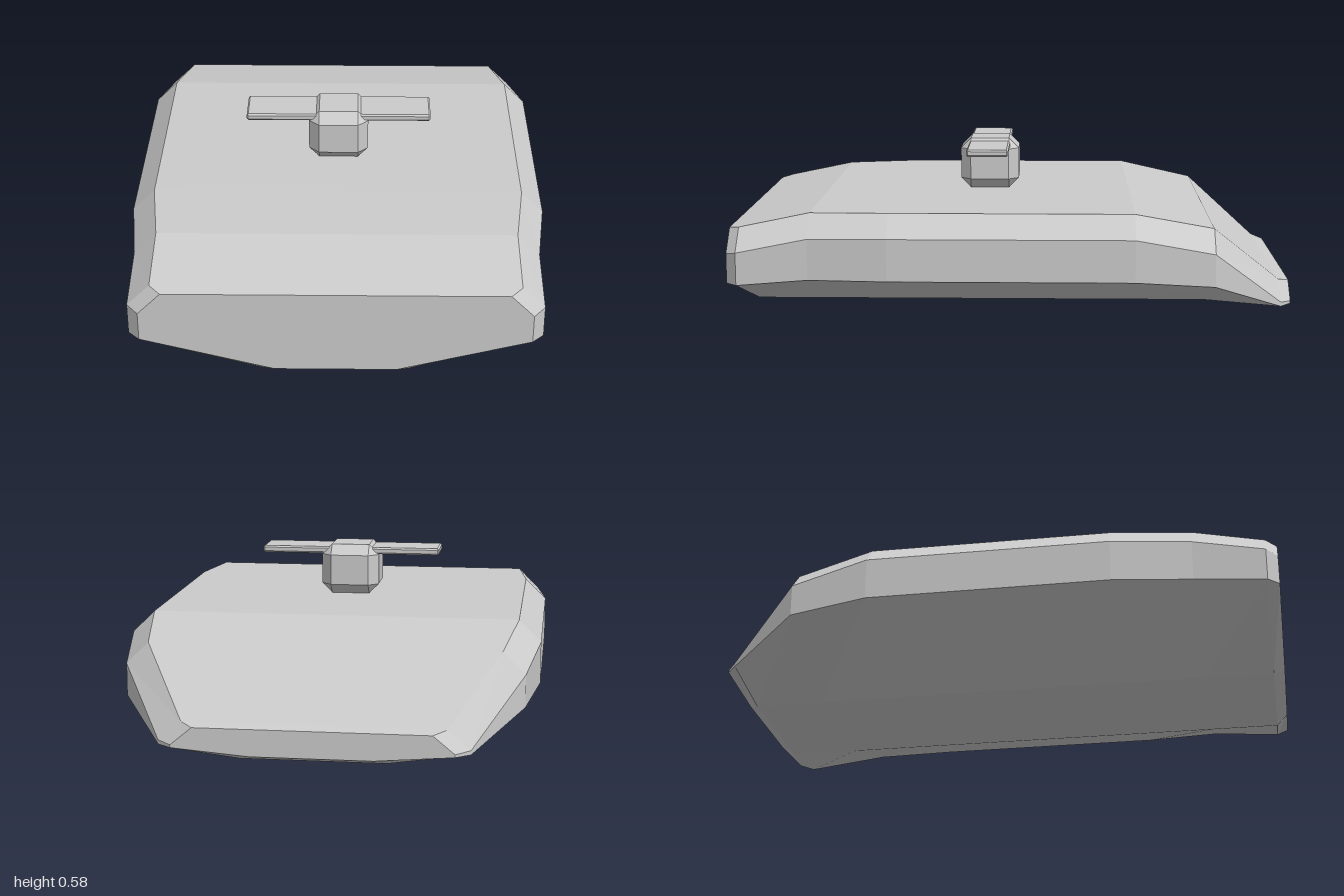
import * as THREE from 'three';
import { ConvexGeometry } from 'three/addons/geometries/ConvexGeometry.js';

const material = new THREE.MeshStandardMaterial({ color: 0xcccccc, flatShading: true });

// Hull stations, front to back:
// z, keel half-width, keel y, side half-width, side bottom y, side top y, deck half-width, deck y
const STATIONS = [
  [1.0, 0.21, 0.025, 0.67, 0.145, 0.25, 0.59, 0.33],
  [0.96, 0.25, 0.0, 0.71, 0.145, 0.26, 0.63, 0.338],
  [0.71, 0.25, 0.0, 0.71, 0.165, 0.31, 0.63, 0.39],
  [0.43, 0.25, 0.0, 0.745, 0.168, 0.317, 0.665, 0.395],
  [-0.43, 0.25, 0.0, 0.745, 0.168, 0.317, 0.665, 0.395],
  [-0.71, 0.25, 0.0, 0.7, 0.145, 0.26, 0.62, 0.338],
  [-0.96, 0.25, 0.0, 0.53, 0.04, 0.055, 0.45, 0.122],
  [-1.0, 0.21, 0.018, 0.48, 0.04, 0.05, 0.405, 0.112],
];

// Lofts mirrored eight-sided sections and caps both ends
function loftHull(stations) {
  const rings = stations.map(([z, k, ky, s, sy0, sy1, d, dy]) => {
    const half = [[k, ky], [s, sy0], [s, sy1], [d, dy]];
    const mirrored = half.map(([x, y]) => [-x, y]).reverse();
    return [...half, ...mirrored].map(([x, y]) => [x, y, z]);
  });
  const positions = [];
  const tri = (a, b, c) => positions.push(...a, ...b, ...c);
  const n = rings[0].length;
  for (let r = 0; r < rings.length - 1; r++) {
    for (let i = 0; i < n; i++) {
      const j = (i + 1) % n;
      const a = rings[r][i], b = rings[r][j], c = rings[r + 1][j], d = rings[r + 1][i];
      tri(a, d, c);
      tri(a, c, b);
    }
  }
  const front = rings[0], back = rings[rings.length - 1];
  for (let i = 1; i < n - 1; i++) {
    tri(front[0], front[i], front[i + 1]);
    tri(back[0], back[i + 1], back[i]);
  }
  const geometry = new THREE.BufferGeometry();
  geometry.setAttribute('position', new THREE.Float32BufferAttribute(positions, 3));
  geometry.computeVertexNormals();
  return geometry;
}

// Box with every edge cut flat
function chamferedBox(w, h, d, c) {
  const points = [];
  const [x, y, z] = [w / 2, h / 2, d / 2];
  for (const i of [-1, 1]) for (const j of [-1, 1]) for (const k of [-1, 1]) {
    points.push(
      new THREE.Vector3(i * x, j * (y - c), k * (z - c)),
      new THREE.Vector3(i * (x - c), j * y, k * (z - c)),
      new THREE.Vector3(i * (x - c), j * (y - c), k * z),
    );
  }
  return new ConvexGeometry(points);
}

export function createModel() {
  const group = new THREE.Group();
  const add = (name, geometry, x = 0, y = 0, z = 0) => {
    const mesh = new THREE.Mesh(geometry, material);
    mesh.name = name;
    mesh.position.set(x, y, z);
    group.add(mesh);
  };

  add('hull', loftHull(STATIONS));
  // Post on the deck carrying the crossbar
  add('post', chamferedBox(0.22, 0.19, 0.22, 0.038), 0, 0.49, 0.097);
  add('crossbar', chamferedBox(0.682, 0.026, 0.154, 0.006), 0, 0.561, 0.098);
  return group;
}
